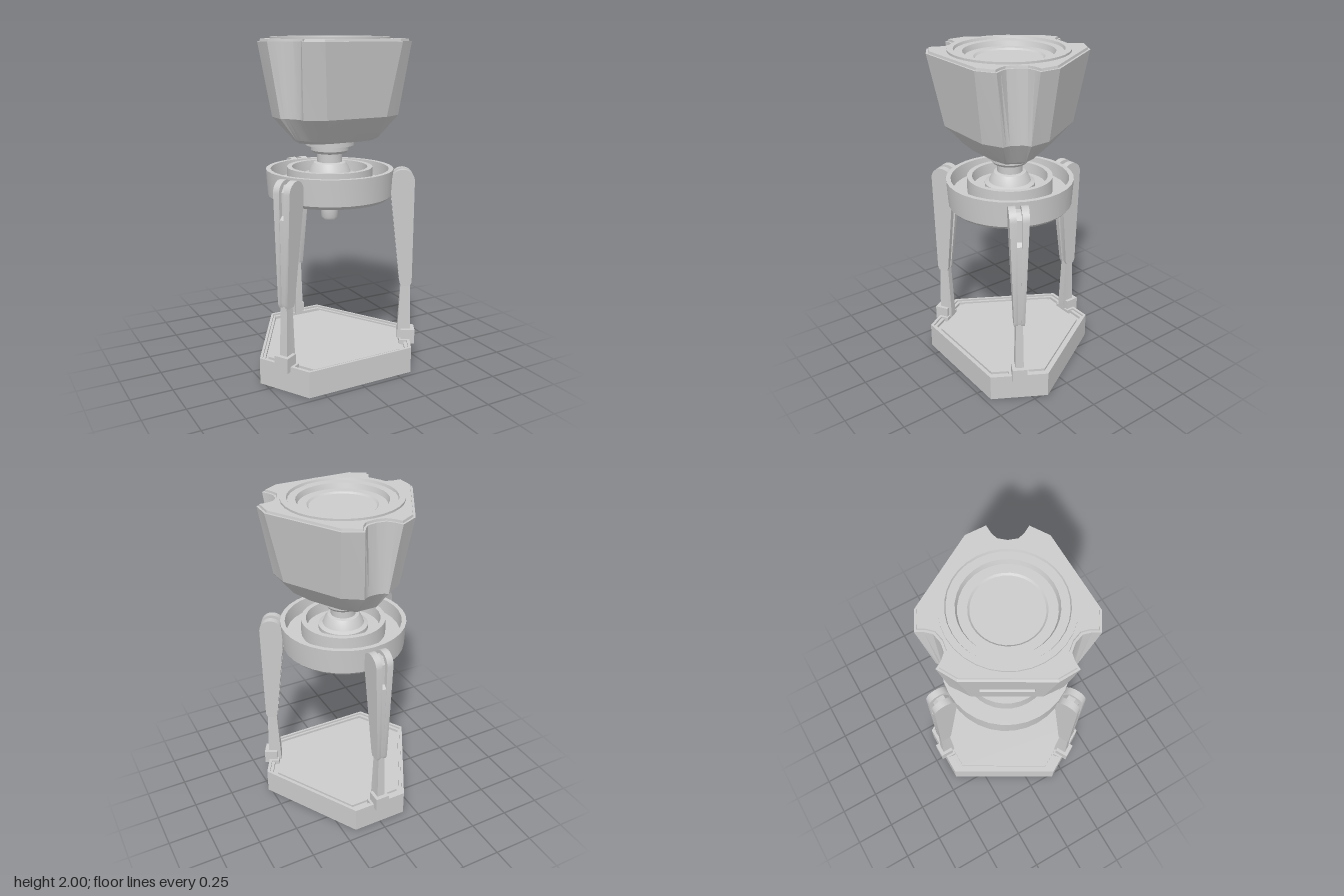
import * as THREE from 'three';
import { toCreasedNormals } from 'three/addons/utils/BufferGeometryUtils.js';

const material = new THREE.MeshStandardMaterial({ color: 0xcccccc });
const THIRD = (Math.PI * 2) / 3;

function add(parent, name, geometry, crease = 0.5) {
  const mesh = new THREE.Mesh(toCreasedNormals(geometry, crease), material);
  mesh.name = name;
  parent.add(mesh);
  return mesh;
}

const toShape = (pts) => new THREE.Shape(pts.map(([x, y]) => new THREE.Vector2(x, y)));

function lathe(pts) {
  return new THREE.LatheGeometry(pts.map(([r, y]) => new THREE.Vector2(r, y)), 32);
}

// Point at (tangent, outward) relative to one of the three corner directions
function cornerPoint(k, t, out) {
  const a = -Math.PI / 2 + k * THIRD;
  return [out * Math.cos(a) - t * Math.sin(a), out * Math.sin(a) + t * Math.cos(a)];
}

// Triangle with cut corners: a = distance to long sides, b = to short sides
function hexPoints(a, b) {
  const s = (a - b / 2) / Math.cos(Math.PI / 6);
  return [0, 1, 2].flatMap((k) => [cornerPoint(k, -s, b), cornerPoint(k, s, b)]);
}

// Horizontal slab between two heights, optionally with a hole
function prism(outer, y0, y1, hole) {
  const shape = toShape(outer);
  if (hole) shape.holes.push(toShape(hole));
  return new THREE.ExtrudeGeometry(shape, { depth: y1 - y0, bevelEnabled: false })
    .rotateX(Math.PI / 2).translate(0, y1, 0);
}

// Upright plate with an (outward, y) profile from x0 to x1, width scaled by height
function plate(shape, x0, x1, widthAt = () => 1) {
  const g = new THREE.ExtrudeGeometry(shape, { depth: x1 - x0, bevelEnabled: false, curveSegments: 8 });
  g.rotateY(-Math.PI / 2).translate(x1, 0, 0);
  const p = g.attributes.position;
  for (let i = 0; i < p.count; i++) p.setX(i, p.getX(i) * widthAt(p.getY(i)));
  return g;
}

// Cup cross-section: long sides, chamfers, and a scooped groove at each corner
function cupOutline([y, a, h, at, ao, n]) {
  const bo = 0.866 * h + 0.5 * a, bt = 0.866 * a - 0.5 * h;
  const half = [[0.5, n + 0.12 * (ao - n)], [0.78, n + 0.5 * (ao - n)], [1, ao]]
    .map(([f, o]) => [f * at, o]);
  half.push([bt, bo]);
  const local = [...half.map(([t, o]) => [-t, o]).reverse(), [0, n], ...half];
  return [0, 1, 2].flatMap((k) => local.map(([t, o]) => {
    const [x, z] = cornerPoint(k, t, o);
    return new THREE.Vector3(x, y, z);
  }));
}

function loft(rings, skip) {
  const out = [];
  for (let r = 0; r < rings.length - 1; r++) {
    const lo = rings[r], hi = rings[r + 1], n = lo.length;
    for (let i = 0; i < n; i++) {
      if (skip(r, i)) continue;
      const j = (i + 1) % n;
      for (const v of [lo[i], hi[i], hi[j], lo[i], hi[j], lo[j]]) out.push(v.x, v.y, v.z);
    }
  }
  const g = new THREE.BufferGeometry();
  g.setAttribute('position', new THREE.Float32BufferAttribute(out, 3));
  return g;
}

function createCup() {
  const cup = new THREE.Group();
  cup.name = 'cup';
  const rings = [
    [1.41, 0.19, 0.1, 0.05, 0.25, 0.25],
    [1.43, 0.21, 0.12, 0.06, 0.285, 0.283],
    [1.56, 0.32, 0.19, 0.075, 0.395, 0.37],
    [1.975, 0.39, 0.24, 0.11, 0.46, 0.375],
    [1.975, 0.378, 0.235, 0.115, 0.445, 0.362],
    [1.988, 0.375, 0.235, 0.115, 0.442, 0.36],
  ].map(cupOutline);
  const centre = rings[0].map(() => new THREE.Vector3(0, 1.41, 0));
  const rim = rings[5].map((v) => {
    const s = 0.335 / Math.hypot(v.x, v.z);
    return new THREE.Vector3(v.x * s, 1.988, v.z * s);
  });
  const all = [centre, ...rings, rim];
  // One long side is left open for the slotted panel
  add(cup, 'cupBody', loft(all, (r, i) => r === 3 && i === 26), 0.35);

  const rise = 0.415, lean = 0.07, len = Math.hypot(rise, lean);
  const panel = new THREE.Group();
  panel.name = 'slottedPanel';
  panel.rotation.set(Math.atan2(lean, rise), Math.atan2(-0.866, -0.5), 0, 'YXZ');
  panel.position.set(-0.866 * 0.32, 1.56, -0.5 * 0.32);
  const face = toShape([[-0.19, 0], [0.19, 0], [0.24, len], [-0.24, len]]);
  face.holes.push(toShape([[-0.14, 0.15], [-0.14, 0.22], [0.14, 0.22], [0.14, 0.15]]));
  add(panel, 'panelFace', new THREE.ExtrudeGeometry(face, { depth: 0.025, bevelEnabled: false })
    .translate(0, 0, -0.025));
  add(panel, 'slotBack', new THREE.BoxGeometry(0.3, 0.09, 0.01).translate(0, 0.185, -0.028));
  cup.add(panel);

  // Stepped round recess in the top
  add(cup, 'topRings', lathe([
    [0.345, 1.975], [0.345, 2], [0.31, 2], [0.305, 1.985], [0.26, 1.985],
    [0.25, 1.955], [0.2, 1.955], [0.19, 1.945], [0, 1.945],
  ]));
  return cup;
}

function createLeg() {
  const leg = new THREE.Group();
  leg.name = 'leg';
  const width = (y) => THREE.MathUtils.mapLinear(y, 0.5, 1.235, 0.55, 1);

  // Rounded upper pod: two cheeks around a recessed core
  const cheek = new THREE.Shape();
  cheek.moveTo(0.44, 0.505);
  cheek.lineTo(0.495, 0.505);
  cheek.lineTo(0.505, 0.53);
  cheek.lineTo(0.505, 1.165);
  cheek.absarc(0.435, 1.165, 0.07, 0, Math.PI, false);
  cheek.lineTo(0.365, 1.1);
  cheek.lineTo(0.43, 0.53);
  add(leg, 'cheek', plate(cheek, 0.016, 0.057, width));
  add(leg, 'cheek', plate(cheek, -0.057, -0.016, width));
  const core = toShape([[0.44, 0.51], [0.495, 0.51], [0.503, 0.54], [0.503, 1.02], [0.48, 1.04],
    [0.48, 1.17], [0.455, 1.21], [0.41, 1.21], [0.38, 1.17], [0.38, 1.1], [0.435, 0.54]]);
  add(leg, 'core', plate(core, -0.017, 0.017, width));

  // Lower strut and foot
  const strut = toShape([[0.425, 0.15], [0.505, 0.15], [0.505, 0.22], [0.495, 0.56], [0.44, 0.56], [0.425, 0.22]]);
  add(leg, 'strut', plate(strut, -0.025, 0.025, (y) => (y > 0.4 ? 0.8 : 1)));
  add(leg, 'foot', new THREE.BoxGeometry(0.09, 0.09, 0.085).translate(0, 0.175, 0.4875));
  add(leg, 'footSeat', new THREE.BoxGeometry(0.12, 0.06, 0.05).translate(0, 0.13, 0.46));
  return leg;
}

function createBase() {
  const base = new THREE.Group();
  base.name = 'base';
  const outer = hexPoints(0.4, 0.5);
  add(base, 'baseBody', prism(outer, 0.012, 0.13));
  add(base, 'bottomRim', prism(outer, 0, 0.012, hexPoints(0.385, 0.482)));
  add(base, 'topRim', prism(outer, 0.13, 0.16, hexPoints(0.385, 0.482)));
  add(base, 'topStep', prism(hexPoints(0.385, 0.482), 0.13, 0.148, hexPoints(0.37, 0.462)));
  add(base, 'topPanel', prism(hexPoints(0.355, 0.43), 0.13, 0.145));
  return base;
}

export function createModel() {
  const model = new THREE.Group();
  model.name = 'tripodStand';
  const body = new THREE.Group();
  body.name = 'body';
  body.position.z = 0.065;
  model.add(body);

  body.add(createBase());
  for (let k = 0; k < 3; k++) {
    const leg = createLeg();
    leg.rotation.y = Math.PI + k * THIRD;
    body.add(leg);
  }

  // Dish with an outer wall, a raised inner ring and a recessed underside
  add(body, 'dish', lathe([
    [0, 1.08], [0.315, 1.08], [0.32, 1.06], [0.35, 1.06], [0.37, 1.08], [0.38, 1.235],
    [0.352, 1.235], [0.345, 1.15], [0.255, 1.15], [0.255, 1.245], [0.225, 1.245],
    [0.22, 1.18], [0, 1.18],
  ]));

  // Nozzle under the dish, with a hollow tip
  add(body, 'nozzle', lathe([
    [0, 0.96], [0.025, 0.96], [0.025, 0.925], [0.045, 0.925], [0.052, 0.94], [0.052, 0.99],
    [0.04, 0.995], [0.06, 1.01], [0.105, 1.035], [0.115, 1.055], [0.15, 1.06], [0.15, 1.09],
  ]));

  // Stepped spindle between dish and cup
  add(body, 'spindle', lathe([
    [0.15, 1.17], [0.15, 1.205], [0.125, 1.215], [0.11, 1.25], [0.095, 1.27], [0.075, 1.275],
    [0.075, 1.325], [0.1, 1.33], [0.112, 1.345], [0.112, 1.37], [0.145, 1.375], [0.145, 1.42],
  ]));

  body.add(createCup());
  return model;
}
